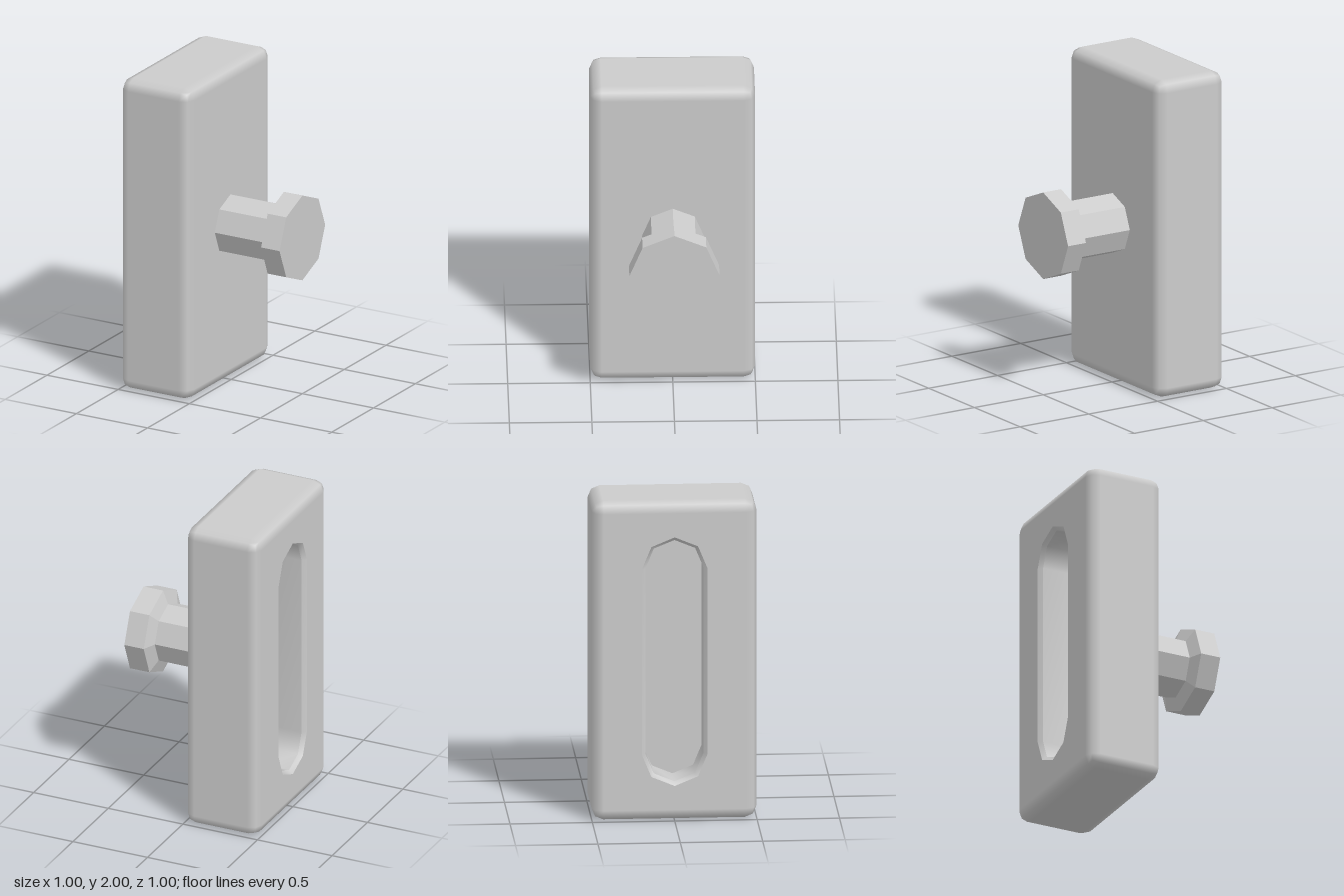
import * as THREE from 'three';
import { RoundedBoxGeometry } from 'three/addons/geometries/RoundedBoxGeometry.js';

const W = 0.495, H = 2, D = 1, BEVEL = 0.07;

// Stadium outline with half-octagon ends, counter-clockwise
function slotOutline(r, halfStraight = 0.58) {
  const pts = [];
  for (const side of [1, -1]) {
    for (let i = 0; i <= 4; i++) {
      const a = (i * Math.PI) / 4 + (side < 0 ? Math.PI : 0);
      pts.push(new THREE.Vector2(r * Math.cos(a), r * Math.sin(a) + side * halfStraight));
    }
  }
  return pts;
}

// Inward-facing band between two outlines at different depths
function band(top, zTop, bottom, zBottom) {
  const n = top.length, pos = [], idx = [];
  top.forEach(p => pos.push(p.x, p.y, zTop));
  bottom.forEach(p => pos.push(p.x, p.y, zBottom));
  for (let i = 0; i < n; i++) {
    const j = (i + 1) % n;
    idx.push(i, j, n + i, j, n + j, n + i);
  }
  const g = new THREE.BufferGeometry();
  g.setAttribute('position', new THREE.Float32BufferAttribute(pos, 3));
  g.setIndex(idx);
  g.computeVertexNormals();
  return g;
}

// Rounded box without its flat -x panel, which the slotted face replaces
function openBox() {
  const src = new RoundedBoxGeometry(W, H, D, 1, BEVEL);
  const box = src.index ? src.toNonIndexed() : src;
  const p = box.attributes.position, nrm = box.attributes.normal;
  const pos = [], nor = [];
  for (let t = 0; t < p.count; t += 3) {
    const tri = [t, t + 1, t + 2];
    if (tri.every(i => Math.abs(p.getX(i) + W / 2) < 1e-4)) continue;
    for (const i of tri) {
      pos.push(p.getX(i), p.getY(i), p.getZ(i));
      nor.push(nrm.getX(i), nrm.getY(i), nrm.getZ(i));
    }
  }
  const g = new THREE.BufferGeometry();
  g.setAttribute('position', new THREE.Float32BufferAttribute(pos, 3));
  g.setAttribute('normal', new THREE.Float32BufferAttribute(nor, 3));
  return g;
}

export function createModel() {
  const model = new THREE.Group();
  const smooth = new THREE.MeshStandardMaterial({ color: 0xcccccc });
  const faceted = new THREE.MeshStandardMaterial({ color: 0xcccccc, flatShading: true });
  const add = (parent, name, geometry, material) => {
    const mesh = new THREE.Mesh(geometry, material);
    mesh.name = name;
    parent.add(mesh);
    return mesh;
  };

  // Body block
  add(model, 'body', openBox(), smooth).position.set(-0.5 + W / 2, H / 2, 0);

  // Slotted side, drawn facing +z and then turned to face -x
  const slot = new THREE.Group();
  slot.name = 'slottedSide';
  slot.position.set(-0.5, H / 2, 0);
  slot.rotation.y = -Math.PI / 2;
  model.add(slot);

  const rim = slotOutline(0.2), inner = slotOutline(0.177);
  const depth = -0.21, chamfer = -0.025;
  const hw = D / 2 - BEVEL, hh = H / 2 - BEVEL;
  const panel = new THREE.Shape([
    new THREE.Vector2(-hw, -hh), new THREE.Vector2(hw, -hh),
    new THREE.Vector2(hw, hh), new THREE.Vector2(-hw, hh),
  ]);
  panel.holes.push(new THREE.Path(rim));
  add(slot, 'slotPanel', new THREE.ShapeGeometry(panel), smooth);
  add(slot, 'slotChamfer', band(rim, 0, inner, chamfer), smooth);
  add(slot, 'slotWall', band(inner, chamfer, inner, depth), smooth);
  const floor = new THREE.ShapeGeometry(new THREE.Shape(inner));
  floor.translate(0, 0, depth);
  add(slot, 'slotFloor', floor, smooth);

  // Eight-sided knob: stem, flare and flat head, pointing to +x
  const profile = [[0.188, -0.01], [0.188, 0.336], [0.273, 0.37], [0.273, 0.5], [0, 0.5]]
    .map(([r, y]) => new THREE.Vector2(r, y));
  const knob = new THREE.LatheGeometry(profile, 8);
  knob.rotateZ(-Math.PI / 2);
  add(model, 'knob', knob, faceted).position.y = 1.003;

  return model;
}
